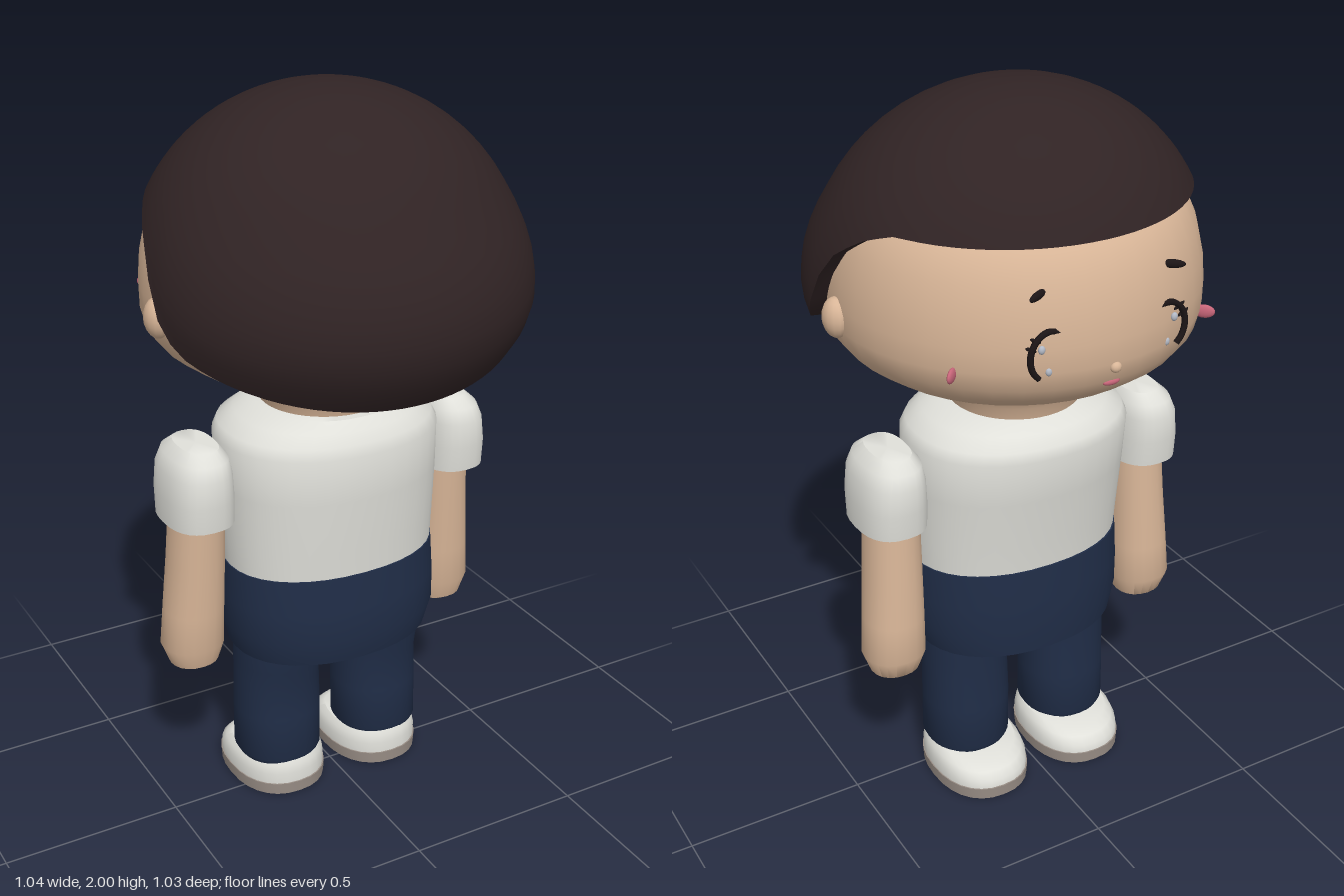
import * as THREE from 'three';
import { toCreasedNormals } from 'three/addons/utils/BufferGeometryUtils.js';

const mat = (name, color, side = THREE.FrontSide) => {
  const m = new THREE.MeshStandardMaterial({ color, side });
  m.name = name;
  return m;
};

// Skin a grid of rings (bottom to top); each ring is a list of [x, y, z]
function skin(rings, caps = true, crease = 0.7) {
  const n = rings[0].length, pos = rings.flat(2), idx = [];
  for (let i = 0; i < rings.length - 1; i++)
    for (let j = 0; j < n; j++) {
      const k = (j + 1) % n, a = i * n + j, b = i * n + k;
      idx.push(a, b, a + n, b, b + n, a + n);
    }
  if (caps) {
    for (const [r, top] of [[0, false], [rings.length - 1, true]]) {
      const c = pos.length / 3;
      for (let d = 0; d < 3; d++) pos.push(rings[r].reduce((s, p) => s + p[d], 0) / n);
      for (let j = 0; j < n; j++) {
        const a = r * n + j, b = r * n + (j + 1) % n;
        idx.push(...(top ? [a, b, c] : [b, a, c]));
      }
    }
  }
  const g = new THREE.BufferGeometry();
  g.setAttribute('position', new THREE.Float32BufferAttribute(pos, 3));
  g.setIndex(idx);
  return toCreasedNormals(g, crease);
}

// Loft through elliptic sections [y, cx, cz, rx, rz]; p > 2 makes them boxier
function loft(sections, { n = 28, p = 2, caps = true, crease = 0.7 } = {}) {
  const pw = v => Math.sign(v) * Math.abs(v) ** (2 / p);
  return skin(sections.map(([y, cx, cz, rx, rz]) =>
    Array.from({ length: n }, (_, j) => {
      const a = j / n * Math.PI * 2;
      return [cx + rx * pw(Math.sin(a)), y, cz + rz * pw(Math.cos(a))];
    })), caps, crease);
}

// Piecewise linear lookup in a list of [x, y] with x rising
function lookup(table, x) {
  if (x <= table[0][0]) return table[0][1];
  for (let i = 1; i < table.length; i++) {
    const [x0, y0] = table[i - 1], [x1, y1] = table[i];
    if (x <= x1) return y0 + (y1 - y0) * (x - x0) / (x1 - x0);
  }
  return table[table.length - 1][1];
}

// Bowl-shaped hair: long at the back, swept up to a fringe over the face
function hairGeometry() {
  const edge = [[-0.46, 1.73], [-0.2, 1.735], [-0.13, 1.71], [-0.05, 1.66], [0, 1.62], [0.05, 1.53],
    [0.1, 1.46], [0.15, 1.415], [0.3, 1.35], [0.43, 1.292]];
  const shift = [[1.29, 0.04], [1.5, 0.035], [1.6, 0.02], [1.73, -0.015], [2, -0.03]];
  const n = 72, rows = 18, rings = [];
  const radius = y => 0.52 * Math.sqrt(Math.max(0, 1 - (y > 1.5 ? ((y - 1.5) / 0.5) ** 2.08 : ((1.5 - y) / 0.35) ** 2)));
  for (let i = -1; i <= rows; i++) {
    const ring = [];
    for (let j = 0; j < n; j++) {
      const a = j / n * Math.PI * 2, s = Math.sin(a), c = Math.cos(a);
      // settle the rim height where the edge curve meets the shell
      let rim = 1.6;
      for (let k = 0; k < 14; k++)
        rim = (rim + lookup(edge, lookup(shift, rim) + 0.93 * radius(rim) * c)) / 2;
      const y = rim + (2 - rim) * Math.sin(Math.max(i, 0) / rows * Math.PI / 2);
      const r = radius(y) * (i < 0 ? 0.88 : 1);
      ring.push([s * r, y, lookup(shift, y) + 0.93 * c * r]);
    }
    rings.push(ring);
  }
  return skin(rings, false, 0.9);
}

export function createModel() {
  const model = new THREE.Group();
  const skinTone = mat('skin', 0xd9b698);
  const hair = mat('dark brown hair', 0x302324, THREE.DoubleSide);
  const shirt = mat('white cloth', 0xe0e0da, THREE.DoubleSide);
  const navy = mat('navy cloth', 0x202d47);
  const soleMat = mat('taupe sole', 0x998e86);
  const ink = mat('black lashes', 0x1c1516);
  const pink = mat('pink', 0xc9667a);
  const shine = mat('eye highlight', 0xb4bac6);

  const add = (name, geo, m, parent = model) => {
    const mesh = new THREE.Mesh(geo, m);
    mesh.name = name;
    parent.add(mesh);
    return mesh;
  };
  const blob = (name, m, [x, y, z], [sx, sy, sz], ry = 0, rz = 0) => {
    const mesh = add(name, new THREE.SphereGeometry(1, 14, 10), m);
    mesh.position.set(x, y, z);
    mesh.scale.set(sx, sy, sz);
    mesh.rotation.set(0, ry, rz);
    return mesh;
  };

  // Head and neck
  const headProfile = [[1.1, 0.165], [1.16, 0.175], [1.2, 0.188], [1.25, 0.21], [1.275, 0.28], [1.31, 0.385],
    [1.35, 0.44], [1.39, 0.471], [1.44, 0.484], [1.5, 0.485], [1.57, 0.479], [1.65, 0.461], [1.72, 0.43],
    [1.79, 0.36], [1.86, 0.25], [1.9, 0.12]];
  add('head', loft(headProfile.map(([y, r]) => [y, 0, y < 1.26 ? -0.032 : -0.022, r, r]), { n: 40, crease: 1 }), skinTone);
  add('hair', hairGeometry(), hair);

  // Face, on the -z side
  blob('nose', skinTone, [0, 1.43, -0.505], [0.015, 0.014, 0.012]);
  blob('mouth', pink, [0, 1.385, -0.488], [0.024, 0.009, 0.008]);
  for (const s of [-1, 1]) {
    blob('ear', skinTone, [s * 0.485, 1.47, 0], [0.035, 0.053, 0.042]);
    blob('cheek', pink, [s * 0.36, 1.435, -0.36], [0.028, 0.018, 0.008], s * 0.75);
    blob('eyebrow', ink, [s * 0.185, 1.635, -0.455], [0.033, 0.011, 0.008], s * 0.4, s * -0.1);
    blob('eyeHighlight', shine, [s * 0.185, 1.505, -0.473], [0.009, 0.011, 0.007]);
    blob('eyeHighlight', shine, [s * 0.165, 1.445, -0.473], [0.009, 0.011, 0.007]);
    // Curved lash line around the top and outer side of the eye
    const pts = Array.from({ length: 9 }, (_, i) => {
      const a = -0.95 + i / 8 * 3;
      return new THREE.Vector3(s * (0.162 + 0.054 * Math.cos(a)), 1.485 + 0.063 * Math.sin(a), -0.474);
    });
    add('eyelashArc', new THREE.TubeGeometry(new THREE.CatmullRomCurve3(pts), 20, 0.008, 6), ink);
    const lash = [[0.2, 1.53], [0.212, 1.51]];
    for (const [x, y] of lash) blob('eyelash', ink, [s * x, y, -0.47], [0.017, 0.005, 0.005], 0, s * 0.5);
  }

  // Torso and shorts: [y, rx, front z, back z]
  const trunk = list => list.map(([y, rx, f, b]) => [y, 0, (f + b) / 2, rx, (b - f) / 2]);
  add('shirt', loft(trunk([[0.7, 0.3, -0.228, 0.198], [0.8, 0.304, -0.24, 0.206], [0.95, 0.309, -0.263, 0.218],
    [1.08, 0.31, -0.283, 0.226], [1.11, 0.295, -0.276, 0.215], [1.14, 0.25, -0.245, 0.195],
    [1.165, 0.195, -0.212, 0.17]]), { n: 36, p: 2.2 }), shirt);
  add('hips', loft(trunk([[0.46, 0.29, -0.238, 0.2], [0.53, 0.308, -0.244, 0.216], [0.62, 0.309, -0.242, 0.212],
    [0.722, 0.304, -0.236, 0.204]]), { n: 36, p: 2.2 }), navy);

  for (const s of [-1, 1]) {
    // Sleeve with an inward hem, and arm with rounded hand
    add('sleeve', loft([[0.93, s * 0.388, -0.037, 0.07, 0.09], [0.888, s * 0.39, -0.037, 0.08, 0.112],
      [0.888, s * 0.39, -0.037, 0.092, 0.125], [0.96, s * 0.39, -0.037, 0.092, 0.132],
      [1.03, s * 0.388, -0.038, 0.086, 0.131], [1.07, s * 0.384, -0.038, 0.074, 0.118],
      [1.096, s * 0.38, -0.038, 0.05, 0.085]], { p: 2.5 }), shirt);
    add('arm', loft([[0.414, s * 0.398, -0.063, 0.03, 0.03], [0.435, s * 0.398, -0.064, 0.068, 0.065],
      [0.49, s * 0.399, -0.066, 0.087, 0.084], [0.6, s * 0.394, -0.061, 0.083, 0.085],
      [0.75, s * 0.387, -0.052, 0.077, 0.086], [0.95, s * 0.38, -0.042, 0.07, 0.086]], { n: 20, p: 2.2 }), skinTone);

    // Trouser leg
    add('trouserLeg', loft([[0.095, s * 0.16, -0.028, 0.113, 0.115], [0.11, s * 0.16, -0.028, 0.121, 0.121],
      [0.24, s * 0.159, -0.029, 0.122, 0.118], [0.35, s * 0.16, -0.028, 0.12, 0.114],
      [0.4, s * 0.16, -0.022, 0.12, 0.122], [0.5, s * 0.16, -0.02, 0.12, 0.124]], { p: 2.2 }), navy);

    // Shoe: sole, then an upper that slopes down to the toe
    add('sole', loft([[0, s * 0.155, -0.072, 0.134, 0.174], [0.034, s * 0.155, -0.072, 0.136, 0.176]], { p: 2.3 }), soleMat);
    const upper = loft([[0.034, s * 0.155, -0.072, 0.133, 0.172], [0.065, s * 0.155, -0.07, 0.133, 0.17],
      [0.088, s * 0.155, -0.062, 0.126, 0.158], [0.101, s * 0.155, -0.05, 0.115, 0.14]], { p: 2.3 });
    const p = upper.attributes.position;
    for (let i = 0; i < p.count; i++) {
      const toe = Math.max(0, -0.13 - p.getZ(i)) / 0.11;
      p.setY(i, 0.034 + (p.getY(i) - 0.034) * (1 - 0.35 * Math.min(1, toe)));
    }
    add('shoeUpper', upper, shirt);
  }
  return model;
}
